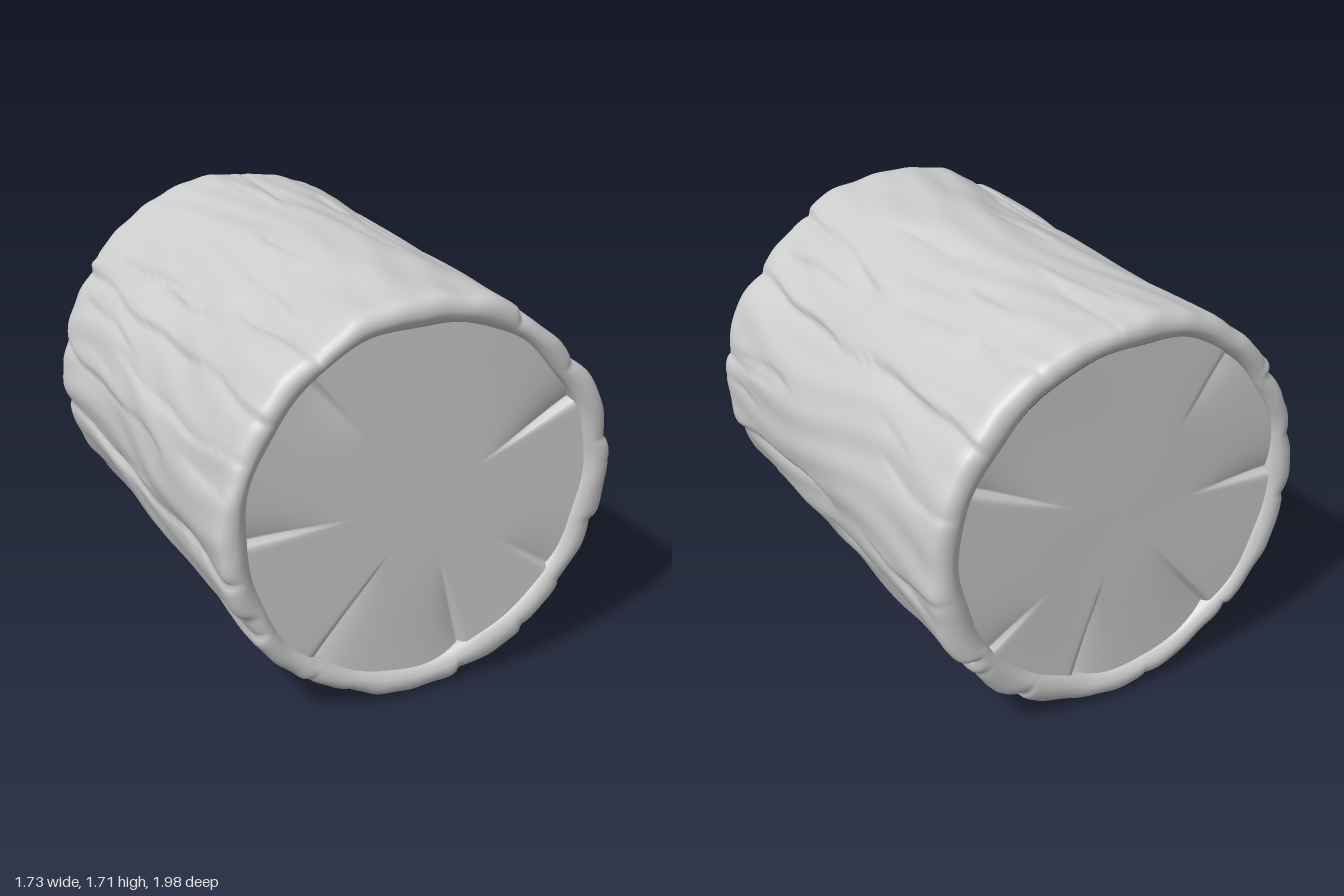
import * as THREE from 'three';

const SEG = 360;
const DEG = Math.PI / 180;
const TAU = Math.PI * 2;

// shortest signed angle between two directions
const angleDiff = (a, b) => {
  const d = (((a - b) % TAU) + TAU) % TAU;
  return d > Math.PI ? d - TAU : d;
};
const smooth = (a, b, x) => THREE.MathUtils.smoothstep(x, a, b);

// small seeded generator
let seed = 7;
const rand = () => (seed = (seed * 16807) % 2147483647) / 2147483647;

// bark fissures: angle at the front, angle at the back, depth, overlapping side, start and end along z
const FISSURES = [
  [-16, -6, 0.04, -1, -0.1, 1.2], [-15, -31, 0.045, -1, -1.2, 0.1], [-42, -38, 0.03, -1, -1.2, 0.5],
  [-36, -44, 0.025, 1, 0.1, 1.2], [-56, -56, 0.03, 1, -1.2, 1.2], [-77, -72, 0.025, 1, -0.3, 1.2],
  [-105, -100, 0.025, -1, -1.2, 0.6], [-128, -131, 0.035, 1, -1.2, 1.2], [-148, -144, 0.025, -1, -0.2, 1.2],
  [-167, -169, 0.03, -1, -1.2, 1.2], [174, 170, 0.02, 1, -1.2, 0.4], [159, 162, 0.02, -1, -0.4, 1.2],
  [145, 147, 0.025, 1, -1.2, 1.2], [123, 136, 0.03, -1, 0.2, 1.2], [120, 143, 0.03, -1, -1.2, 0.2],
  [70, 85, 0.018, -1, -0.2, 0.5], [60, 48, 0.03, -1, 0, 1.2], [42, 63, 0.03, -1, -1.2, -0.5],
  [35, 37, 0.04, -1, -1.2, 1.2], [8, 10, 0.02, 1, 0.4, 1.2], [20, 17, 0.018, 1, -1.2, -0.4],
];
// short cracks scattered between the long ones
for (let k = 0; k < 36; k++) {
  const angle = k * 10 + rand() * 8, from = rand() * 1.9 - 1.2;
  FISSURES.push([angle, angle + rand() * 12 - 6, 0.01 + rand() * 0.01, rand() < 0.5 ? 1 : -1, from, from + 0.4 + rand() * 0.5]);
}

// radial drying cracks in the wood: angle, inner radius, depth, side that slopes gently
const CRACKS = [
  [25, 0.25, 0.04, 1], [129, 0.4, 0.025, 1], [181, 0.3, 0.03, -1],
  [232, 0.22, 0.035, 1], [286, 0.25, 0.035, -1], [325, 0.4, 0.02, 1],
];

// places where the front end is worn in: angle, width, depth
const WORN = [[47, 0.3, 0.028], [213, 0.3, 0.022]];

// depth of all fissures at one point of the bark
function fissure(t, z) {
  let sum = 0;
  FISSURES.forEach(([front, back, depth, side, from, to], k) => {
    if (z <= from || z >= to) return;
    const at = THREE.MathUtils.lerp(back, front, (z + 1) / 2) * DEG
      + 0.02 * Math.sin(4.1 * z + k * 2.3) + 0.012 * Math.sin(11 * z + k * 4.1);
    const d = angleDiff(t, at) * side;
    if (Math.abs(d) > 0.4) return;
    const fade = smooth(from, from + 0.2, z) * (1 - smooth(to - 0.2, to, z));
    sum += depth * fade * (0.75 + 0.25 * Math.sin(6 * z + k * 1.7)) * Math.exp(-Math.abs(d) / (d > 0 ? 0.07 : 0.014));
  });
  return Math.min(sum, 0.055);
}

// outer radius of the bark
function barkRadius(t, z) {
  const lumps = 0.005 * Math.sin(5 * t + 2.2 * z) + 0.004 * Math.sin(9 * t - 3.4 * z + 1)
    + 0.003 * Math.sin(17 * t + 5 * z + 2) + 0.004 * Math.sin(7 * z + 4 * t)
    + 0.003 * Math.sin(29 * t + 4 * Math.sin(3 * z + t));
  const oval = 0.006 * Math.cos(2 * t) - 0.005 * Math.sin(t);
  let r = 0.841 + 0.014 * z * z + oval + lumps - fissure(t, z);
  for (const [angle, width, depth] of WORN) {
    r -= depth * smooth(0, 1, z) * Math.exp(-((angleDiff(t, angle * DEG) / width) ** 2));
  }
  return r;
}

// edge of the sawn wood, inside the bark
const woodRadius = (t) => 0.732 - 0.012 * Math.cos(t) + 0.007 * Math.sin(3 * t + 1) + 0.006 * Math.sin(7 * t) + 0.004 * Math.sin(13 * t + 2);

// closed rings of points joined into a smooth skin, from front to back
function skin(rows, point) {
  const pos = [], index = [];
  for (let i = 0; i < rows; i++) {
    for (let j = 0; j < SEG; j++) {
      const t = (j / SEG) * TAU;
      const [r, z] = point(i, t);
      pos.push(r * Math.cos(t), r * Math.sin(t), z);
    }
  }
  for (let i = 0; i < rows - 1; i++) {
    for (let j = 0; j < SEG; j++) {
      const k = (j + 1) % SEG;
      const a = i * SEG + j, b = i * SEG + k, c = a + SEG, d = b + SEG;
      index.push(a, c, b, b, c, d);
    }
  }
  const geo = new THREE.BufferGeometry();
  geo.setAttribute('position', new THREE.Float32BufferAttribute(pos, 3));
  geo.setIndex(index);
  geo.computeVertexNormals();
  return geo;
}

// rounded lip: fraction from wood edge to bark surface, height along the axis
const LIP = [[0, 0.92], [0.03, 0.958], [0.15, 0.972], [0.3, 0.983], [0.45, 0.987], [0.62, 0.985], [0.78, 0.977], [0.9, 0.963], [0.97, 0.945], [1, 0.915]];

function barkGeometry() {
  const body = 76;
  const rows = LIP.length * 2 + body;
  return skin(rows, (i, t) => {
    const last = rows - 1 - i;
    const end = Math.min(i, last);
    const sign = i < last ? 1 : -1;
    if (end >= LIP.length) {
      const z = THREE.MathUtils.lerp(0.885, -0.885, (i - LIP.length) / (body - 1));
      return [barkRadius(t, z), z];
    }
    const [f, h] = LIP[end];
    const inner = woodRadius(t);
    const wave = 0.005 * Math.sin(6 * t + sign) + 0.004 * Math.sin(15 * t + 2 * sign);
    const z = h + (wave - 0.35 * fissure(t, sign * h)) * f;
    return [inner + (barkRadius(t, sign * h) - inner) * f, sign * z];
  });
}

// sawn end with cracks that deepen towards the rim
function woodGeometry(sign) {
  const rows = 34;
  return skin(rows, (i, t) => {
    const f = (sign > 0 ? i : rows - 1 - i) / (rows - 1);
    const r = f * (woodRadius(t) + 0.006);
    let z = 0.962 + 0.002 * Math.sin(3 * t + 5 * r) * f;
    for (const [angle, start, depth, side] of CRACKS) {
      const d = angleDiff(t, angle * DEG) * side;
      z -= depth * smooth(start, 0.74, r) * Math.exp(-Math.abs(d) / (d > 0 ? 0.13 : 0.012));
    }
    return [r, sign * z];
  });
}

export function createModel() {
  const grey = new THREE.MeshStandardMaterial({ color: 0xcccccc });
  grey.name = 'plain grey';

  const log = new THREE.Group();
  log.name = 'log';
  const add = (name, geometry) => {
    const mesh = new THREE.Mesh(geometry, grey);
    mesh.name = name;
    mesh.position.y = 0.86;
    log.add(mesh);
  };
  add('bark', barkGeometry());
  add('frontSawnEnd', woodGeometry(1));
  add('backSawnEnd', woodGeometry(-1));

  // rest on the ground, centred
  const box = new THREE.Box3().setFromObject(log);
  const mid = box.getCenter(new THREE.Vector3());
  for (const part of log.children) {
    part.position.x -= mid.x;
    part.position.y -= box.min.y;
    part.position.z -= mid.z;
  }
  return log;
}
